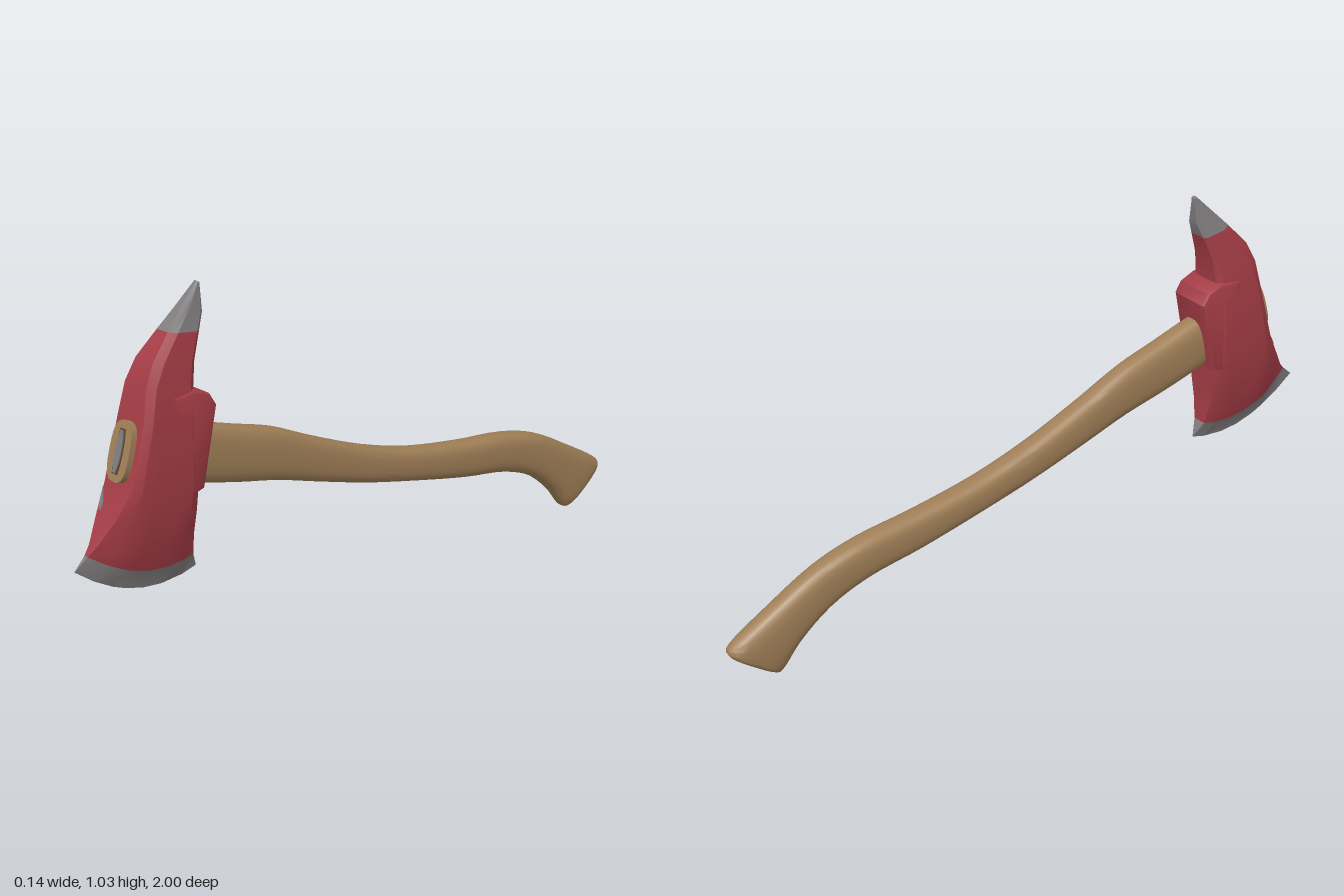
import * as THREE from 'three';
import { toCreasedNormals } from 'three/addons/utils/BufferGeometryUtils.js';

const material = (name, color) => new THREE.MeshStandardMaterial({ name, color });

// Skin a list of rings (each a loop of [x, y, z]) and close both ends.
function loft(rings, crease) {
  const n = rings[0].length, index = [];
  const pos = rings.flat(2);
  const last = (rings.length - 1) * n;
  for (let i = 0; i < rings.length - 1; i++) {
    for (let j = 0; j < n; j++) {
      const a = i * n + j, b = i * n + (j + 1) % n;
      index.push(a, a + n, b, b, a + n, b + n);
    }
  }
  [rings[0], rings.at(-1)].forEach((ring, end) => {
    const c = pos.length / 3;
    for (let k = 0; k < 3; k++) pos.push(ring.reduce((s, p) => s + p[k], 0) / n);
    for (let j = 0; j < n; j++) {
      const k = (j + 1) % n;
      if (end) index.push(c, last + k, last + j);
      else index.push(c, j, k);
    }
  });
  const geo = new THREE.BufferGeometry();
  geo.setAttribute('position', new THREE.Float32BufferAttribute(pos, 3));
  geo.setIndex(index);
  return toCreasedNormals(geo, crease);
}

// Head cross-sections from spike to edge:
// front z, y, back z, y, half width, front face half width, chamfer share, sag
const headRows = [
  [0.583, 1.035, 0.576, 1.03, 0.008, 0.005, 0.3, 0],
  [0.645, 0.975, 0.578, 0.955, 0.021, 0.012, 0.3, 0],
  [0.695, 0.925, 0.598, 0.91, 0.035, 0.022, 0.25, 0],
  [0.755, 0.86, 0.625, 0.84, 0.05, 0.036, 0.2, 0],
  [0.785, 0.80, 0.636, 0.77, 0.058, 0.045, 0.15, 0],
  [0.805, 0.71, 0.637, 0.70, 0.07, 0.055, 0.12, 0],
  [0.853, 0.54, 0.635, 0.50, 0.07, 0.057, 0.12, 0],
  [0.893, 0.47, 0.638, 0.43, 0.062, 0.042, 0.2, 0.008],
  [0.94, 0.40, 0.641, 0.36, 0.047, 0.016, 0.3, 0.025],
  [0.962, 0.378, 0.634, 0.295, 0.028, 0.007, 0.3, 0.04],
  [1.0, 0.345, 0.61, 0.247, 0.0005, 0.0005, 0.3, 0.056],
];

function headRing([fz, fy, bz, by, w, wf, c, sag]) {
  const side = [[0, wf], [c / 2, (w + wf) / 2], [c, w], [0.4, w], [0.55, w],
    [0.7, w], [0.88, w], [1, w * 0.78]];
  const at = ([s, x], sign) =>
    [sign * x, fy + (by - fy) * s - sag * 4 * s * (1 - s), fz + (bz - fz) * s];
  return [...side.map(p => at(p, 1)), ...side.reverse().map(p => at(p, -1))];
}

// Handle stations: half width, top y, top z, bottom y, bottom z
const handleRows = [
  [0.041, 0.713, 0.822, 0.557, 0.867],
  [0.041, 0.65, 0.59, 0.49, 0.62],
  [0.041, 0.61, 0.46, 0.451, 0.475],
  [0.041, 0.57, 0.33, 0.417, 0.33],
  [0.041, 0.507, 0.19, 0.374, 0.19],
  [0.041, 0.43, 0, 0.318, 0],
  [0.041, 0.377, -0.18, 0.274, -0.18],
  [0.041, 0.341, -0.39, 0.227, -0.39],
  [0.041, 0.318, -0.58, 0.195, -0.57],
  [0.041, 0.28, -0.715, 0.148, -0.69],
  [0.041, 0.205, -0.86, 0.075, -0.785],
  [0.038, 0.132, -0.985, 0.01, -0.838],
  [0.034, 0.116, -0.998, 0.001, -0.85],
  [0.026, 0.1, -0.992, 0.006, -0.866],
];

// Rounded-rectangle sections swept between the top and bottom edges
function handleGeometry() {
  const top = new THREE.CatmullRomCurve3(handleRows.map(r => new THREE.Vector3(r[0], r[1], r[2])));
  const bottom = new THREE.CatmullRomCurve3(handleRows.map(r => new THREE.Vector3(0, r[3], r[4])));
  const steps = (handleRows.length - 1) * 4, sides = 28, rings = [];
  const round = v => Math.sign(v) * Math.abs(v) ** 0.7;
  for (let i = 0; i <= steps; i++) {
    const t = top.getPoint(i / steps), b = bottom.getPoint(i / steps);
    rings.push(Array.from({ length: sides }, (_, j) => {
      const a = j / sides * Math.PI * 2, v = round(Math.sin(a)) / 2 + 0.5;
      return [t.x * round(Math.cos(a)), b.y + (t.y - b.y) * v, b.z + (t.z - b.z) * v];
    }));
  }
  return loft(rings, 0.7);
}

// Lens-shaped plate, standing in the xy plane
function lens(w, h, blunt, depth) {
  const s = new THREE.Shape();
  s.moveTo(-blunt, -h);
  s.lineTo(blunt, -h);
  s.quadraticCurveTo(w, 0, blunt, h);
  s.lineTo(-blunt, h);
  s.quadraticCurveTo(-w, 0, -blunt, -h);
  return new THREE.ExtrudeGeometry(s, { depth, bevelEnabled: false, curveSegments: 8 });
}

export function createModel() {
  const model = new THREE.Group();
  model.name = 'axe';
  const red = material('red paint', 0xa43c45);
  const steel = material('bare steel', 0x7f7c7d);
  const wood = material('wood', 0xa07f57);
  const dark = material('dark gap', 0x5a4932);
  const add = (name, geo, mat, parent = model) => {
    const mesh = new THREE.Mesh(geo, mat);
    mesh.name = name;
    parent.add(mesh);
    return mesh;
  };

  // Head: spike, painted body and cutting edge
  const rings = headRows.map(headRing);
  add('spike', loft(rings.slice(0, 3), 0.45), steel);
  add('headBody', loft(rings.slice(2, 10), 0.45), red);
  add('cuttingEdge', loft(rings.slice(9), 0.45), steel);

  // Collar behind the head, around the handle
  const profile = new THREE.Shape([[-0.70, 0.75], [-0.645, 0.755], [-0.602, 0.737], [-0.587, 0.712],
    [-0.602, 0.64], [-0.632, 0.50], [-0.70, 0.48]].reverse().map(p => new THREE.Vector2(...p)));
  const collar = new THREE.ExtrudeGeometry(profile, {
    depth: 0.112, bevelThickness: 0.012, bevelSize: 0.012, bevelSegments: 2 });
  collar.translate(0, 0, -0.056).rotateY(Math.PI / 2);
  add('collar', toCreasedNormals(collar, 0.5), red);

  add('handle', handleGeometry(), wood);

  // Wedge driven into the handle's front end
  const wedge = new THREE.Group();
  wedge.name = 'wedge';
  wedge.position.set(0, 0.635, 0.844);
  wedge.rotation.x = -0.285;
  model.add(wedge);
  add('wedgeSlot', lens(0.021, 0.06, 0.01, 0.003), dark, wedge);
  add('wedgeSteel', lens(0.021, 0.056, 0.005, 0.006), steel, wedge);

  // Worn patch on the front face
  const chip = new THREE.Shape([[-0.052, 0.03], [-0.042, 0.012], [-0.03, -0.005], [-0.028, -0.028],
    [-0.036, -0.022], [-0.046, 0.0]].reverse().map(p => new THREE.Vector2(...p)));
  const scuff = add('wornPaint', new THREE.ExtrudeGeometry(chip, { depth: 0.003, bevelEnabled: false }), steel);
  scuff.position.set(0, 0.5, 0.876);
  scuff.rotation.x = -0.52;
  return model;
}
